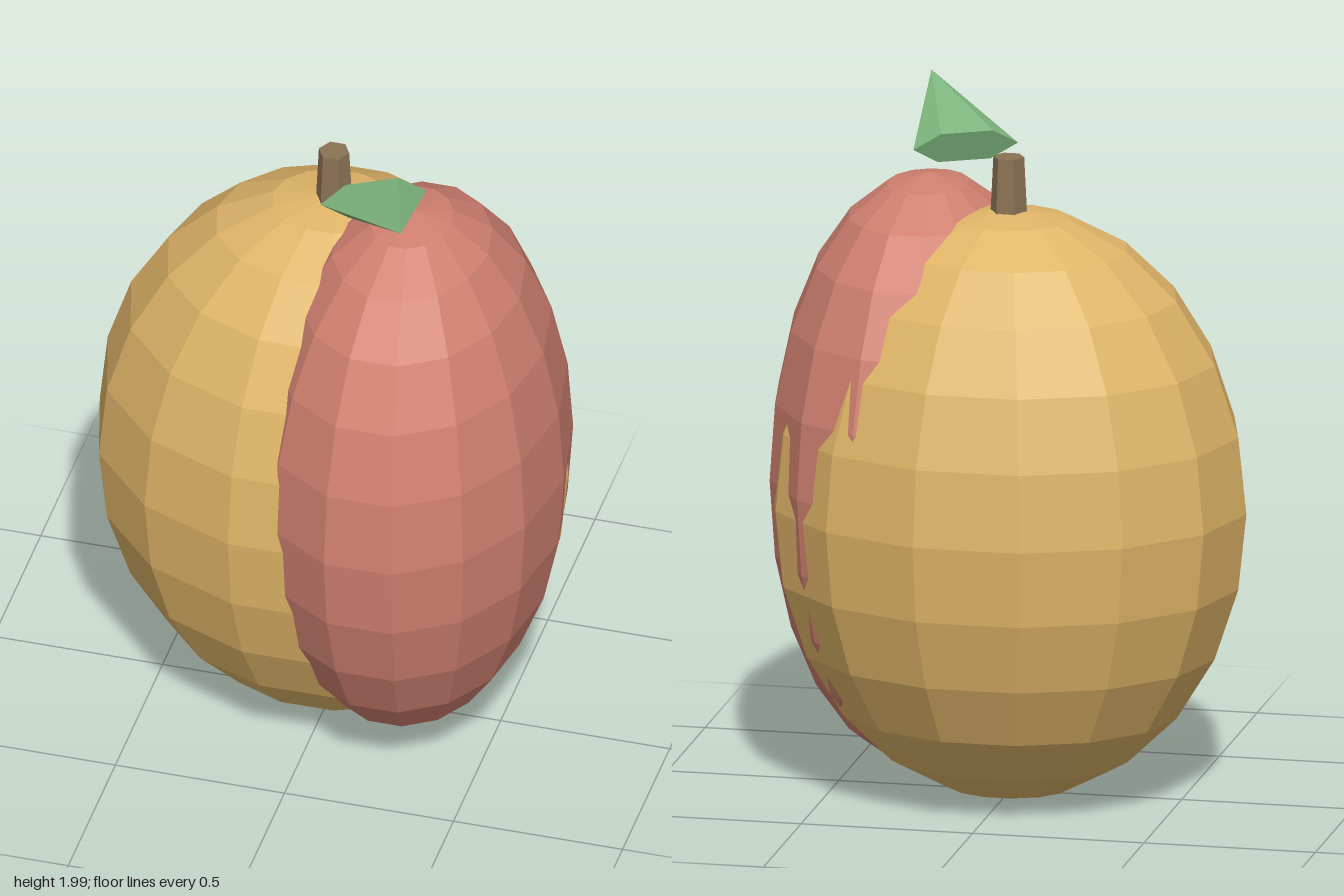
import * as THREE from 'three';

const rad = THREE.MathUtils.degToRad;

function addPart(group, name, geometry, color, position) {
  const material = new THREE.MeshStandardMaterial({ color, flatShading: true });
  const mesh = new THREE.Mesh(geometry, material);
  mesh.name = name;
  mesh.position.set(...position);
  group.add(mesh);
}

// Faceted ellipsoid used for both halves of the fruit
const lobe = (rx, ry, rz) => new THREE.SphereGeometry(1, 14, 12).scale(rx, ry, rz);

export function createModel() {
  const group = new THREE.Group();
  group.name = 'fruit';

  // Body and the overlapping blush that covers its front left side
  addPart(group, 'fruitBody', lobe(0.693, 0.865, 0.59), 0xe0b568, [-0.008, 0.87, -0.055]);
  addPart(group, 'redBlush', lobe(0.45, 0.867, 0.59), 0xd08070, [0.25, 0.933, 0.045]);

  // Six-sided tapered stem
  const stem = new THREE.CylinderGeometry(0.045, 0.055, 0.2, 6).rotateY(rad(30));
  addPart(group, 'stem', stem, 0x8b7355, [-0.008, 1.785, -0.055]);

  // Leaf: flattened six-sided cone, base at its origin, tip forward, up and to the left
  const leaf = new THREE.ConeGeometry(0.155, 0.387, 6)
    .rotateY(rad(30))
    .scale(1, 1, 0.36)
    .translate(0, 0.1935, 0)
    .rotateX(rad(69.6))
    .rotateY(rad(28));
  addPart(group, 'leaf', leaf, 0x7fb77e, [0.153, 1.865, 0.105]);

  return group;
}
